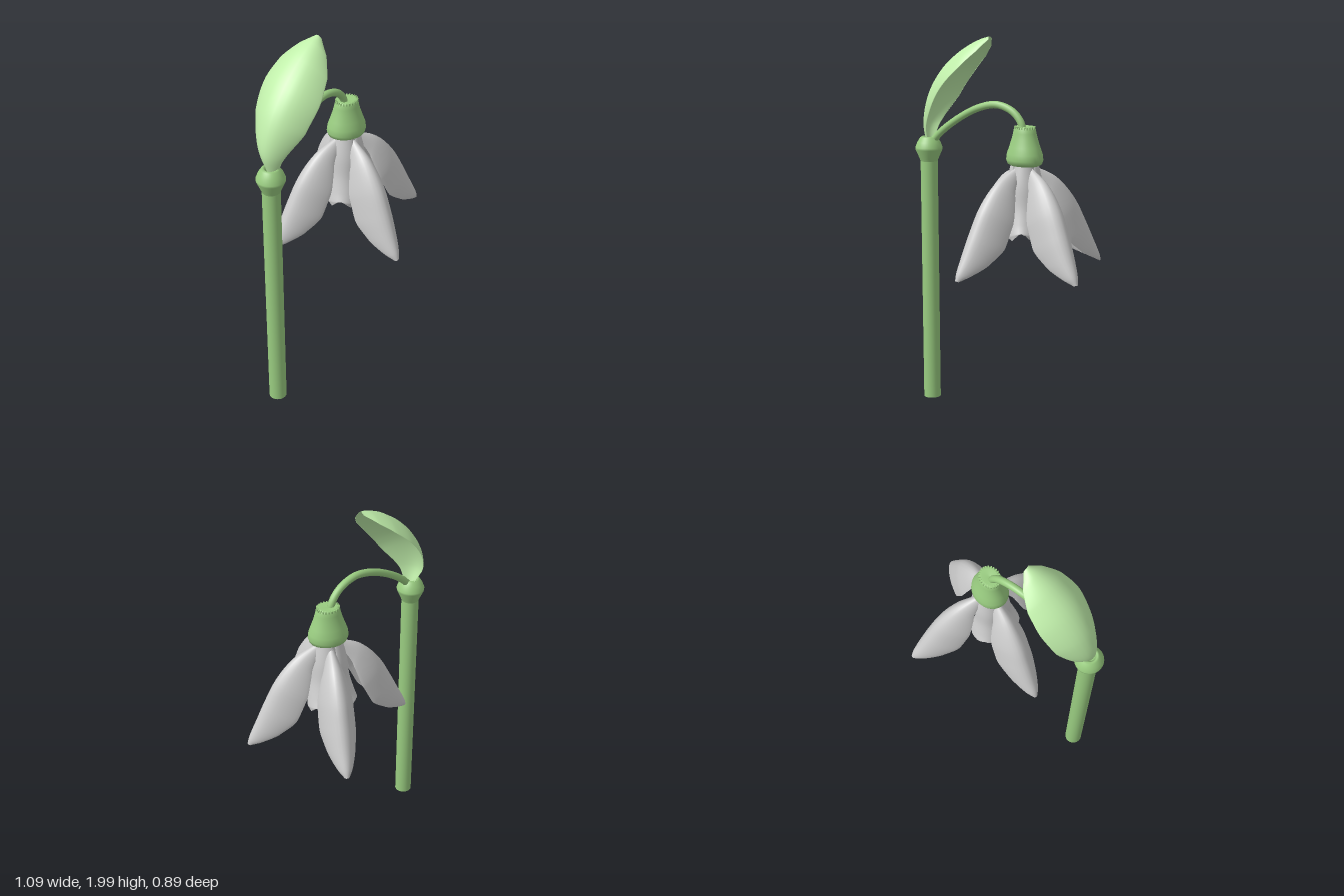
import * as THREE from 'three';

const V = (x, y, z) => new THREE.Vector3(x, y, z);
const mat = (color) => new THREE.MeshStandardMaterial({ color, side: THREE.DoubleSide });

// Closed cupped blade. Each station is [x, y, z, halfWidth, cupDepth, thickness];
// "side" is the width direction, and the cup bends along tangent x side.
// A power of 1 gives a parabolic cup, 0.5 a rounder half-ellipse.
function blade(stations, side, power, notch = 0, rows = 36, cols = 32) {
  const spine = new THREE.CatmullRomCurve3(stations.map((s) => V(s[0], s[1], s[2])));
  const size = new THREE.CatmullRomCurve3(stations.map((s) => V(s[3], s[4], s[5])));
  const pos = [], idx = [];
  for (let i = 0; i <= rows; i++) {
    const u = i / rows;
    const c = spine.getPoint(u), t = spine.getTangent(u), s = size.getPoint(u);
    const n = t.clone().cross(side).normalize();
    for (let j = 0; j < cols; j++) {
      const a = (j / cols) * Math.PI * 2, v = Math.cos(a);
      const bend = 1 - Math.abs(Math.sin(a)) ** (2 * power);
      const p = c.clone()
        .addScaledVector(side, s.x * v)
        .addScaledVector(n, s.y * bend - s.z * Math.sin(a) * 0.5)
        .addScaledVector(t, -notch * u ** 5 * (1 - Math.abs(v)));
      pos.push(p.x, p.y, p.z);
      if (i < rows) {
        const k = i * cols + j, m = i * cols + ((j + 1) % cols);
        idx.push(k, m, k + cols, m, m + cols, k + cols);
      }
    }
  }
  const g = new THREE.BufferGeometry();
  g.setAttribute('position', new THREE.Float32BufferAttribute(pos, 3));
  g.setIndex(idx);
  g.computeVertexNormals();
  return g;
}

const lathe = (pts, seg = 40) =>
  new THREE.LatheGeometry(pts.map((p) => new THREE.Vector2(p[0], p[1])), seg);

export function createModel() {
  const model = new THREE.Group();
  const green = mat(0x99cc80), pale = mat(0xc0eeaa), grey = mat(0xcccccc);
  const add = (name, geo, material, parent = model) => {
    const mesh = new THREE.Mesh(geo, material);
    mesh.name = name;
    parent.add(mesh);
    return mesh;
  };

  // Stem and the hollow collar at its top
  add('stem', new THREE.CylinderGeometry(0.046, 0.046, 1.4, 32), green).position.set(-0.475, 0.7, 0.203);
  add('collar', lathe([
    [0.045, 1.32], [0.05, 1.335], [0.072, 1.385], [0.073, 1.397], [0.062, 1.425],
    [0.046, 1.45], [0.036, 1.456], [0.026, 1.447], [0.022, 1.41], [0.001, 1.4],
  ]), green).position.set(-0.475, 0, 0.203);

  // Arching flower stalk
  add('stalk', new THREE.TubeGeometry(new THREE.CatmullRomCurve3([
    V(-0.47, 1.41, 0.2), V(-0.4, 1.485, 0.175), V(-0.28, 1.573, 0.13), V(-0.17, 1.628, 0.09),
    V(-0.07, 1.648, 0.055), V(0.02, 1.62, 0.025), V(0.07, 1.565, 0.008), V(0.085, 1.5, 0.003),
  ]), 48, 0.019, 14), green);

  // Cupped leaf standing over the stalk
  add('leaf', blade([
    [-0.475, 1.41, 0.205, 0.025, 0.015, 0.012],
    [-0.5, 1.53, 0.2, 0.08, 0.05, 0.014],
    [-0.455, 1.69, 0.188, 0.145, 0.088, 0.014],
    [-0.365, 1.825, 0.163, 0.16, 0.09, 0.014],
    [-0.25, 1.925, 0.122, 0.135, 0.075, 0.012],
    [-0.165, 1.972, 0.088, 0.08, 0.045, 0.01],
    [-0.115, 1.99, 0.068, 0.02, 0.012, 0.006],
  ], V(0.38, -0.14, 0.92).normalize(), 1), pale);

  // Hanging flower
  const flower = new THREE.Group();
  flower.name = 'flower';
  flower.position.set(0.095, 0, 0.003);
  model.add(flower);

  // Green cup with a fluted crown
  const cup = new THREE.Group();
  cup.name = 'cup';
  cup.scale.z = 0.84;
  flower.add(cup);
  add('cupBody', lathe([
    [0.001, 1.35], [0.08, 1.35], [0.098, 1.36], [0.105, 1.38], [0.101, 1.41],
    [0.088, 1.445], [0.074, 1.485], [0.066, 1.515], [0.062, 1.535], [0.054, 1.547],
    [0.044, 1.55], [0.001, 1.545],
  ]), green, cup);
  for (let i = 0; i < 24; i++) {
    const a = (i / 24) * Math.PI * 2;
    const rib = add('crownRib', new THREE.BoxGeometry(0.016, 0.02, 0.008), green, cup);
    rib.position.set(Math.cos(a) * 0.053, 1.539, Math.sin(a) * 0.053);
    rib.rotation.y = -a;
  }

  // Four long outer petals with rounded tips
  const petal = blade([
    [0.06, 1.335, 0, 0.02, 0.02, 0.012],
    [0.175, 1.268, 0, 0.062, 0.095, 0.025],
    [0.272, 1.155, 0, 0.09, 0.145, 0.03],
    [0.337, 1.035, 0, 0.093, 0.15, 0.028],
    [0.39, 0.925, 0, 0.073, 0.1, 0.025],
    [0.43, 0.845, 0, 0.037, 0.035, 0.02],
    [0.445, 0.812, 0, 0.012, 0.006, 0.01],
  ], V(0, 0, 1), 0.65);
  for (const deg of [-4, 77, 179, -88]) {
    add('outerPetal', petal, grey, flower).rotation.y = THREE.MathUtils.degToRad(deg);
  }

  // Four short notched inner petals forming a ruffled bell, flared at the rim
  const inner = blade([
    [0.06, 1.37, 0, 0.04, 0.012, 0.016],
    [0.085, 1.25, 0, 0.055, 0.015, 0.02],
    [0.1, 1.14, 0, 0.07, 0.03, 0.02],
    [0.125, 1.06, 0, 0.085, 0.045, 0.018],
    [0.148, 1.01, 0, 0.075, 0.045, 0.015],
    [0.155, 0.99, 0, 0.05, 0.03, 0.01],
  ], V(0, 0, 1), 1, 0.04);
  for (let i = 0; i < 4; i++) {
    add('innerPetal', inner, grey, flower).rotation.y = Math.PI * (0.25 + i / 2);
  }

  // Core in the middle of the flower
  add('core', lathe([
    [0.001, 0.98], [0.015, 0.99], [0.03, 1.05], [0.05, 1.1], [0.06, 1.22], [0.065, 1.36],
  ], 24), grey, flower);

  return model;
}
